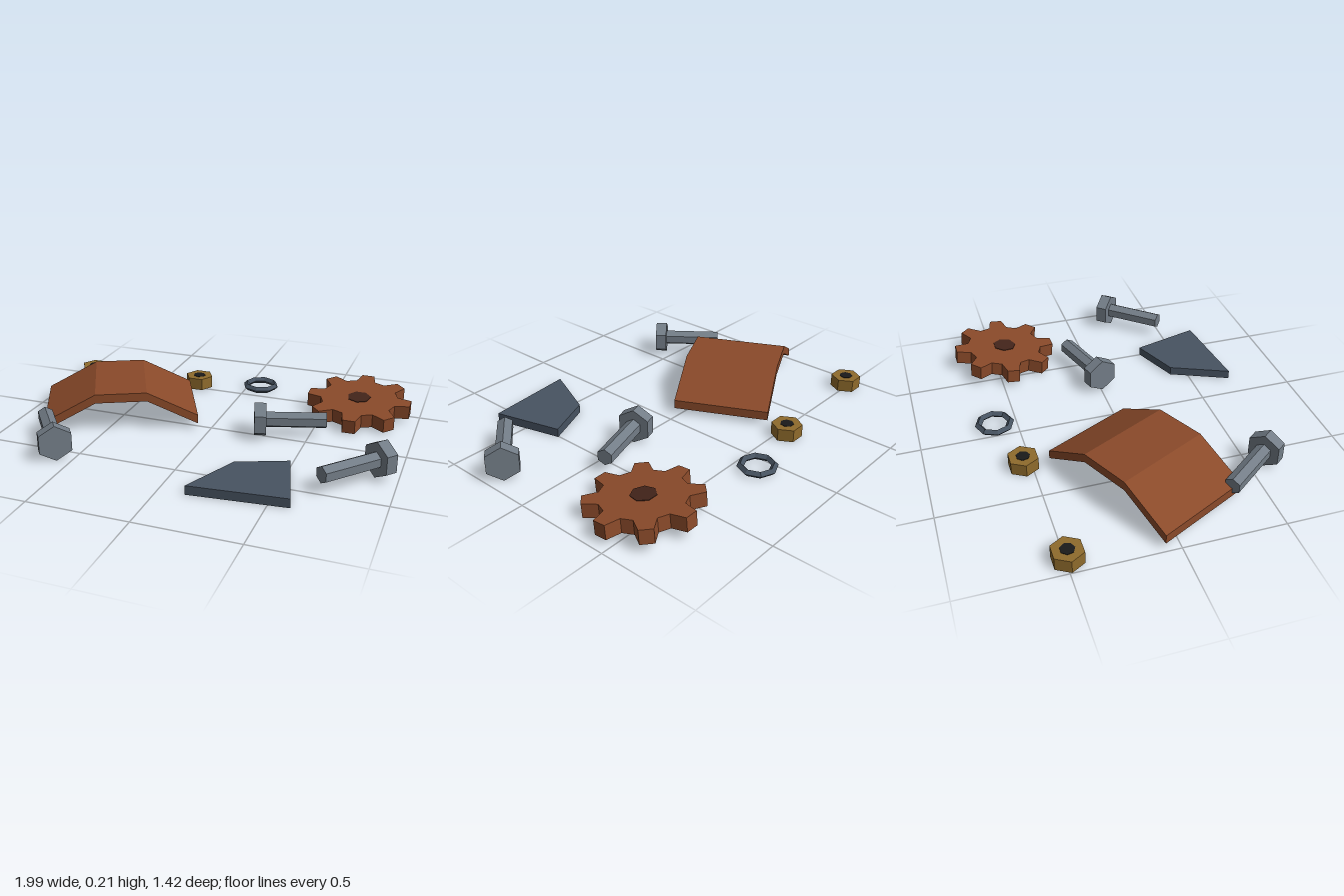
import * as THREE from 'three';

const mat = (color) => new THREE.MeshStandardMaterial({ color, flatShading: true });
const steel = mat(0x737d87), slate = mat(0x475361), rust = mat(0x8a4a2a);
const brass = mat(0x8f6b2c), dark = mat(0x1a1a1a), darkRust = mat(0x43241a);

function add(parent, name, geometry, material, x = 0, y = 0, z = 0) {
  const mesh = new THREE.Mesh(geometry, material);
  mesh.name = name;
  mesh.position.set(x, y, z);
  parent.add(mesh);
  return mesh;
}

function group(parent, name, x, y, z) {
  const g = new THREE.Group();
  g.name = name;
  g.position.set(x, y, z);
  parent.add(g);
  return g;
}

// Extrude an outline of [x, y] points along z
function prism(points, depth) {
  const shape = new THREE.Shape(points.map(([x, y]) => new THREE.Vector2(x, y)));
  return new THREE.ExtrudeGeometry(shape, { depth, bevelEnabled: false });
}

// Hexagonal bar lying along +x with a corner pointing up
function hexBar(radius, length) {
  return new THREE.CylinderGeometry(radius, radius, length, 6)
    .rotateY(Math.PI / 2).rotateZ(-Math.PI / 2);
}

// Bolt lying flat, from the outer head face to the shaft tip
function bolt(parent, name, [hx, hz], [tx, tz]) {
  const g = group(parent, name, hx, 0.09, hz);
  const length = Math.hypot(tx - hx, tz - hz), head = 0.06;
  add(g, 'boltHead', hexBar(0.09, head), steel, head / 2);
  add(g, 'boltShaft', hexBar(0.042, length - head), steel, (length + head) / 2);
  g.rotation.y = Math.atan2(hz - tz, tx - hx);
}

// Hex nut with a dark bore on its upper face
function nut(parent, name, x, z) {
  const g = group(parent, name, x, 0, z), h = 0.065;
  add(g, 'nutBody', new THREE.CylinderGeometry(0.078, 0.078, h, 6).rotateY(Math.PI / 2), brass, 0, h / 2);
  add(g, 'nutBore', new THREE.CylinderGeometry(0.035, 0.035, 0.01, 7), dark, 0, h - 0.003);
}

export function createModel() {
  const model = new THREE.Group();
  model.name = 'scrapParts';

  // Bent plate: three straight segments forming a low arch
  const arch = [[-0.39, 0.075], [-0.13, 0.21], [0.13, 0.21], [0.39, 0.075]];
  const underside = arch.map(([x, y]) => [x, y - 0.046]).reverse();
  const bentPlate = add(model, 'bentPlate',
    prism([...underside, ...arch], 0.494).translate(0, 0, -0.247), rust, -0.522, 0, -0.02);
  bentPlate.rotation.y = 0.457;

  // Cog with eight tapered teeth, slightly tilted
  const cog = group(model, 'cog', 0.68, 0.062, -0.443);
  cog.rotation.x = 0.09;
  const outline = [];
  for (let i = 0; i < 8; i++) {
    for (const [r, offset] of [[0.203, -0.25], [0.274, -0.12], [0.274, 0.12], [0.203, 0.25]]) {
      const a = i * Math.PI / 4 + offset;
      outline.push([r * Math.cos(a), r * Math.sin(a)]);
    }
  }
  add(cog, 'cogBody', prism(outline, 0.072).translate(0, 0, -0.036).rotateX(-Math.PI / 2), rust);
  add(cog, 'cogBore', new THREE.CylinderGeometry(0.062, 0.062, 0.01, 7), darkRust, 0, 0.034);

  // Flat four-cornered shard, outline given as x and -z
  const shard = [[0.505, -0.31], [0.26, -0.41], [0.13, -0.705], [0.6, -0.66]];
  add(model, 'metalShard', prism(shard, 0.045).rotateX(-Math.PI / 2), slate);

  // Faceted washer
  add(model, 'washer', new THREE.TorusGeometry(0.083, 0.018, 4, 8).rotateX(-Math.PI / 2),
    slate, 0.08, 0.021, -0.615);

  nut(model, 'leftNut', -0.92, -0.49);
  nut(model, 'backNut', -0.27, -0.54);

  bolt(model, 'middleBolt', [0.233, 0.008], [0.58, -0.1]);
  bolt(model, 'sideBolt', [0.93, 0.211], [0.69, 0.484]);
  bolt(model, 'frontBolt', [-0.567, 0.607], [-0.789, 0.318]);

  return model;
}
